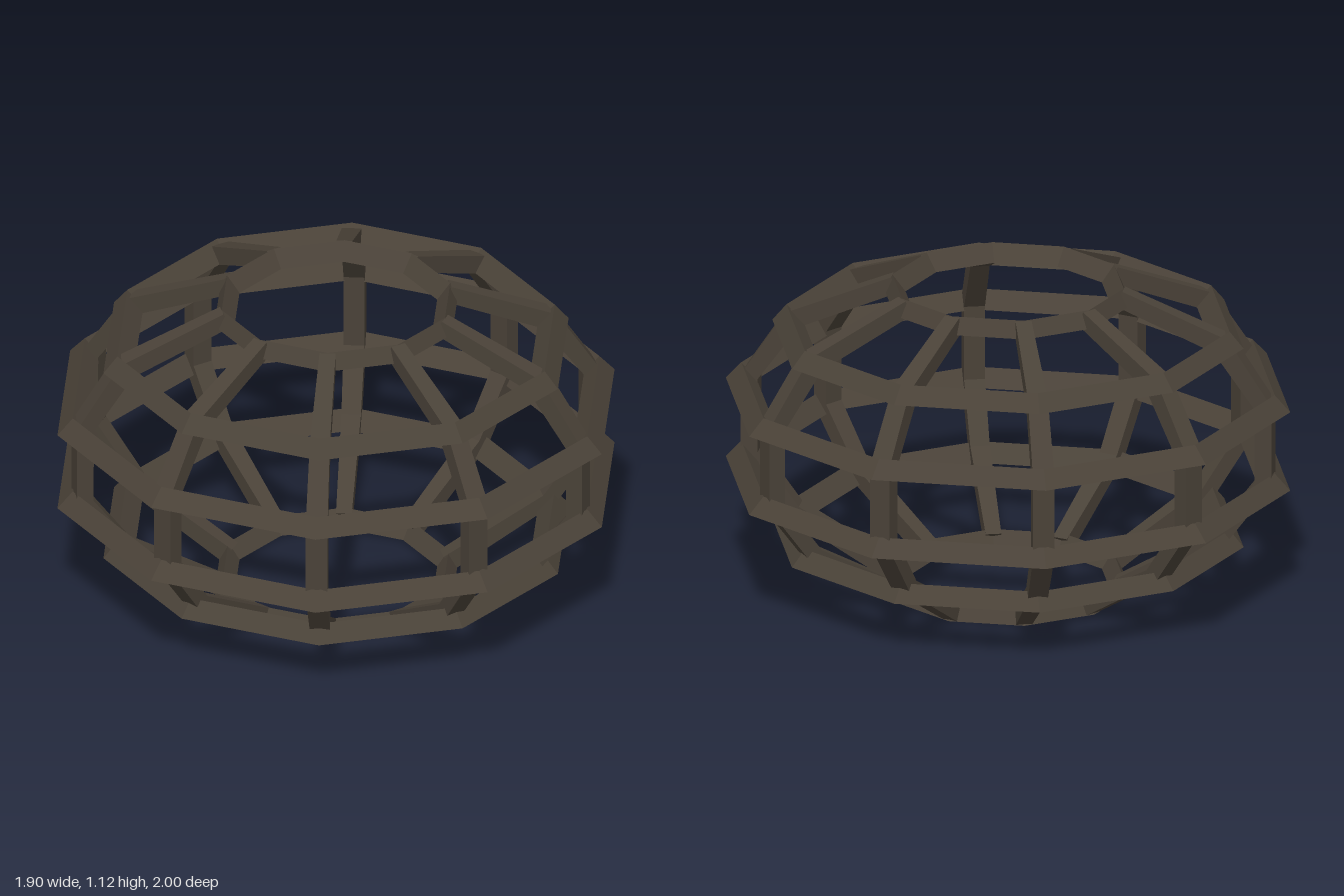
import * as THREE from 'three';

const SIDES = 10;

// Ring height (underside), outer, crest and inner radius
const RINGS = [
  ['bottomRing', 0.0, 0.437, 0.405, 0.363],
  ['lowerRing', 0.19, 0.835, 0.785, 0.725],
  ['lowerMiddleRing', 0.41, 1.0, 0.945, 0.89],
  ['upperMiddleRing', 0.7, 1.0, 0.945, 0.89],
  ['upperRing', 0.925, 0.835, 0.785, 0.725],
  ['topRing', 1.06, 0.437, 0.41, 0.363],
];
const RING_HEIGHT = 0.06;

// Rib outline as [radius, height]: up the outside, then down the inside
const RIB = [
  [0.425, 0.0], [0.78, 0.215], [0.94, 0.43], [0.94, 0.73], [0.785, 0.965], [0.41, 1.118],
  [0.38, 1.065], [0.735, 0.915], [0.88, 0.715], [0.88, 0.445], [0.735, 0.25], [0.38, 0.05],
];

// Ten-sided ring with a triangular section, flat underneath
function ringGeometry(y, outer, crest, inner) {
  const section = [[outer, y], [crest, y + RING_HEIGHT], [inner, y], [outer, y]];
  const geometry = new THREE.LatheGeometry(section.map(p => new THREE.Vector2(...p)), SIDES).toNonIndexed();
  geometry.computeVertexNormals();
  return geometry;
}

// Bent rectangular bar, slightly narrower toward its two ends
function ribGeometry() {
  const shape = new THREE.Shape(RIB.map(p => new THREE.Vector2(...p)));
  const geometry = new THREE.ExtrudeGeometry(shape, { depth: 1, bevelEnabled: false });
  const pos = geometry.attributes.position;
  for (let i = 0; i < pos.count; i++) {
    const halfWidth = THREE.MathUtils.mapLinear(pos.getX(i), 0.4, 0.94, 0.028, 0.038);
    pos.setZ(i, (pos.getZ(i) - 0.5) * 2 * halfWidth);
  }
  geometry.computeVertexNormals();
  return geometry;
}

export function createModel() {
  const model = new THREE.Group();
  model.name = 'cageFrame';
  const material = new THREE.MeshStandardMaterial({ color: 0x4a4238, flatShading: true });

  // Horizontal rings
  const rings = new THREE.Group();
  rings.name = 'rings';
  for (const [name, ...dims] of RINGS) {
    const ring = new THREE.Mesh(ringGeometry(...dims), material);
    ring.name = name;
    rings.add(ring);
  }

  // Upright ribs, one at each ring corner
  const ribs = new THREE.Group();
  ribs.name = 'ribs';
  const geometry = ribGeometry();
  for (let i = 0; i < SIDES; i++) {
    const rib = new THREE.Mesh(geometry, material);
    rib.name = `rib${i + 1}`;
    rib.rotation.y = (i / SIDES) * Math.PI * 2 - Math.PI / 2;
    ribs.add(rib);
  }

  model.add(rings, ribs);
  return model;
}
